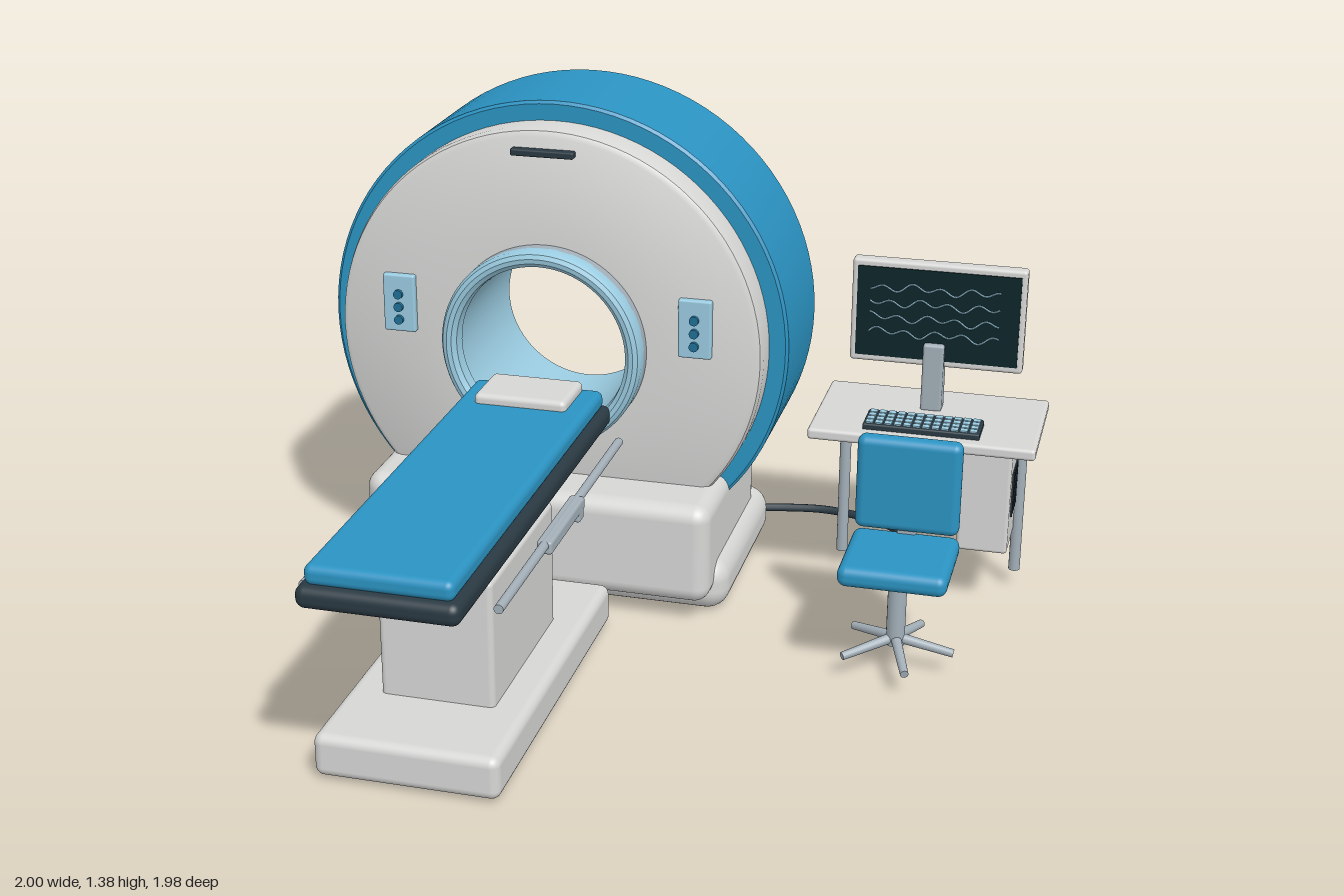
import * as THREE from 'three';
import { toCreasedNormals } from 'three/addons/utils/BufferGeometryUtils.js';
import { RoundedBoxGeometry } from 'three/addons/geometries/RoundedBoxGeometry.js';

const material = (name, color) => {
  const m = new THREE.MeshStandardMaterial({ color });
  m.name = name;
  return m;
};
const white = material('shellWhite', 0xd6d7d5);
const blue = material('mainBlue', 0x2b93c2);
const paleBlue = material('paleBlue', 0x9acbe0);
const dark = material('darkSlate', 0x2a3942);
const steel = material('steelGrey', 0xa3afb8);
const screenColor = material('screenBlack', 0x0d2528);
const buttonBlue = material('buttonBlue', 0x1f6f96);

const GX = -0.342; // shared axis of gantry and table
const GY = 0.727;

function add(parent, name, geometry, mat, x = 0, y = 0, z = 0) {
  const mesh = new THREE.Mesh(geometry, mat);
  mesh.name = name;
  mesh.position.set(x, y, z);
  parent.add(mesh);
  return mesh;
}

// Rounded box given by its min and max on each axis
function block(parent, name, mat, [x0, x1], [y0, y1], [z0, z1], radius = 0.01) {
  const geometry = new RoundedBoxGeometry(x1 - x0, y1 - y0, z1 - z0, 4, radius);
  return add(parent, name, geometry, mat, (x0 + x1) / 2, (y0 + y1) / 2, (z0 + z1) / 2);
}

// Cylinder between two points
function rod(parent, name, mat, a, b, radius, radiusEnd = radius) {
  const from = new THREE.Vector3(...a), to = new THREE.Vector3(...b);
  const dir = to.clone().sub(from);
  const mesh = add(parent, name, new THREE.CylinderGeometry(radiusEnd, radius, dir.length(), 16), mat);
  mesh.position.copy(from).addScaledVector(dir, 0.5);
  mesh.quaternion.setFromUnitVectors(new THREE.Vector3(0, 1, 0), dir.normalize());
  return mesh;
}

// Ring turned about the gantry axis; points are [radius, z], outer side first
function turned(parent, name, mat, points) {
  const geometry = new THREE.LatheGeometry(points.map(p => new THREE.Vector2(...p)), 96);
  geometry.rotateX(Math.PI / 2);
  return add(parent, name, toCreasedNormals(geometry, 0.6), mat, GX, GY, 0);
}

function buildGantry() {
  const g = new THREE.Group();
  g.name = 'gantry';
  turned(g, 'outerDrum', blue, [[0.29, -0.815], [0.645, -0.815], [0.656, -0.805], [0.656, -0.437],
    [0.648, -0.43], [0.25, -0.43]]);
  turned(g, 'rearFunnel', blue, [[0.238, -0.72], [0.29, -0.815]]);
  turned(g, 'frontShell', white, [[0.603, -0.44], [0.603, -0.36], [0.597, -0.342], [0.582, -0.332],
    [0.25, -0.33]]);
  turned(g, 'boreLiner', paleBlue, [[0.238, -0.29], [0.238, -0.73]]);
  turned(g, 'boreCollar', steel, [[0.284, -0.335], [0.284, -0.3], [0.24, -0.3]]);
  turned(g, 'boreRing', paleBlue, [[0.284, -0.305], [0.284, -0.275], [0.277, -0.262], [0.265, -0.256],
    [0.252, -0.258], [0.24, -0.27], [0.236, -0.305]]);

  // Feet
  block(g, 'floorBase', white, [-0.875, 0.19], [0, 0.157], [-0.85, -0.245], 0.065);
  block(g, 'cradle', white, [-0.835, 0.155], [0.06, 0.347], [-0.775, -0.172], 0.045);

  // Control panels on both sides of the bore
  for (const side of [-1, 1]) {
    const x = GX + side * 0.421;
    block(g, 'controlPanel', paleBlue, [x - 0.046, x + 0.046], [0.73, 0.895], [-0.335, -0.312], 0.006);
    for (const y of [0.766, 0.803, 0.84]) {
      const button = add(g, 'panelButton', new THREE.CylinderGeometry(0.013, 0.013, 0.012, 20), buttonBlue, x, y, -0.308);
      button.rotation.x = Math.PI / 2;
    }
  }
  block(g, 'statusSlot', dark, [GX - 0.088, GX + 0.088], [1.259, 1.278], [-0.336, -0.308], 0.005);
  return g;
}

function buildTable() {
  const g = new THREE.Group();
  g.name = 'patientTable';
  const across = half => [GX - half, GX + half];
  block(g, 'tableBase', white, across(0.236), [0.008, 0.122], [-0.13, 0.85], 0.025);
  block(g, 'tableColumn', white, across(0.148), [0.1, 0.462], [0.105, 0.61], 0.015);
  block(g, 'slideCarriage', steel, across(0.105), [0.455, 0.54], [0.2, 0.5], 0.008);
  block(g, 'tableTop', dark, across(0.2), [0.53, 0.588], [-0.285, 0.985], 0.024);
  block(g, 'mattress', blue, across(0.182), [0.583, 0.635], [-0.265, 0.965], 0.02);
  block(g, 'pillow', white, across(0.128), [0.625, 0.662], [-0.25, -0.078], 0.015);

  // Side rails with grips
  for (const side of [-1, 1]) {
    const x = GX + side * 0.241;
    rod(g, 'sideRail', steel, [x, 0.514, -0.2], [x, 0.514, 0.83], 0.012);
    block(g, 'railSleeve', steel, [x - 0.02, x + 0.02], [0.49, 0.525], [0.19, 0.48], 0.008);
    block(g, 'railBracket', steel, [x - 0.02, x + 0.02], [0.47, 0.522], [0.2, 0.24], 0.006);
  }
  return g;
}

function buildDesk() {
  const g = new THREE.Group();
  g.name = 'workstation';
  block(g, 'deskTop', white, [0.385, 1.0], [0.512, 0.544], [-0.737, -0.355], 0.01);
  for (const x of [0.443, 0.94]) rod(g, 'deskLeg', steel, [x, 0.05, -0.66], [x, 0.515, -0.66], 0.016);

  // Computer case with side vents
  block(g, 'computerCase', white, [0.79, 0.93], [0.172, 0.47], [-0.735, -0.485], 0.01);
  for (let i = 0; i < 5; i++)
    add(g, 'caseVent', new THREE.BoxGeometry(0.008, 0.13, 0.012), dark, 0.931, 0.335, -0.53 - i * 0.0235);

  // Monitor
  block(g, 'monitorCase', white, [0.455, 0.93], [0.665, 0.96], [-0.634, -0.592], 0.01);
  add(g, 'screen', new THREE.BoxGeometry(0.445, 0.257, 0.006), screenColor, 0.693, 0.813, -0.591);
  block(g, 'monitorStand', steel, [0.66, 0.718], [0.54, 0.735], [-0.63, -0.57], 0.008);
  for (let row = 0; row < 4; row++) {
    const points = [];
    for (let i = 0; i <= 40; i++) {
      const t = i / 40;
      points.push(new THREE.Vector3(0.507 + 0.355 * t,
        0.757 + row * 0.043 + 0.009 * Math.sin(t * 28 + row * 1.7) + 0.005 * Math.sin(t * 13 + row), -0.588));
    }
    add(g, 'traceLine', new THREE.TubeGeometry(new THREE.CatmullRomCurve3(points), 80, 0.0025, 5), paleBlue);
  }

  // Keyboard
  block(g, 'keyboard', dark, [0.53, 0.846], [0.54, 0.56], [-0.502, -0.39], 0.005);
  for (let row = 0; row < 4; row++)
    for (let col = 0; col < 12; col++)
      add(g, 'key', new THREE.BoxGeometry(0.02, 0.006, 0.02), paleBlue, 0.547 + col * 0.0256, 0.561, -0.484 + row * 0.0255);
  return g;
}

function buildChair() {
  const g = new THREE.Group();
  g.name = 'chair';
  const x = 0.69, z = -0.075;
  block(g, 'chairSeat', blue, [0.548, 0.832], [0.285, 0.342], [-0.212, 0.065], 0.024);
  block(g, 'chairBack', blue, [0.552, 0.828], [0.35, 0.612], [-0.222, -0.17], 0.022);
  block(g, 'backSupport', steel, [0.665, 0.715], [0.3, 0.4], [-0.21, -0.185], 0.006);
  rod(g, 'chairPost', steel, [x, 0.075, z], [x, 0.29, z], 0.025);
  for (let i = 0; i < 5; i++) {
    const a = i * Math.PI * 2 / 5;
    rod(g, 'chairFoot', steel, [x, 0.095, z],
      [x + 0.155 * Math.cos(a), 0.065, z + 0.155 * Math.sin(a)], 0.014, 0.011);
  }
  return g;
}

function buildCable() {
  const path = [[-0.04, 0.03, -0.865], [0.1, 0.025, -0.925], [0.22, 0.022, -0.965], [0.33, 0.022, -0.98],
    [0.44, 0.025, -0.955], [0.53, 0.033, -0.9], [0.6, 0.04, -0.83], [0.68, 0.048, -0.745], [0.755, 0.058, -0.67]];
  const curve = new THREE.CatmullRomCurve3(path.map(p => new THREE.Vector3(...p)));
  const g = new THREE.Group();
  g.name = 'powerCable';
  add(g, 'cable', new THREE.TubeGeometry(curve, 60, 0.012, 10), dark);
  for (const p of [path[0], path[path.length - 1]])
    add(g, 'cableEnd', new THREE.SphereGeometry(0.012, 12, 8), dark, ...p);
  return g;
}

export function createModel() {
  const model = new THREE.Group();
  model.name = 'scannerRoom';
  model.add(buildGantry(), buildTable(), buildDesk(), buildChair(), buildCable());
  return model;
}
